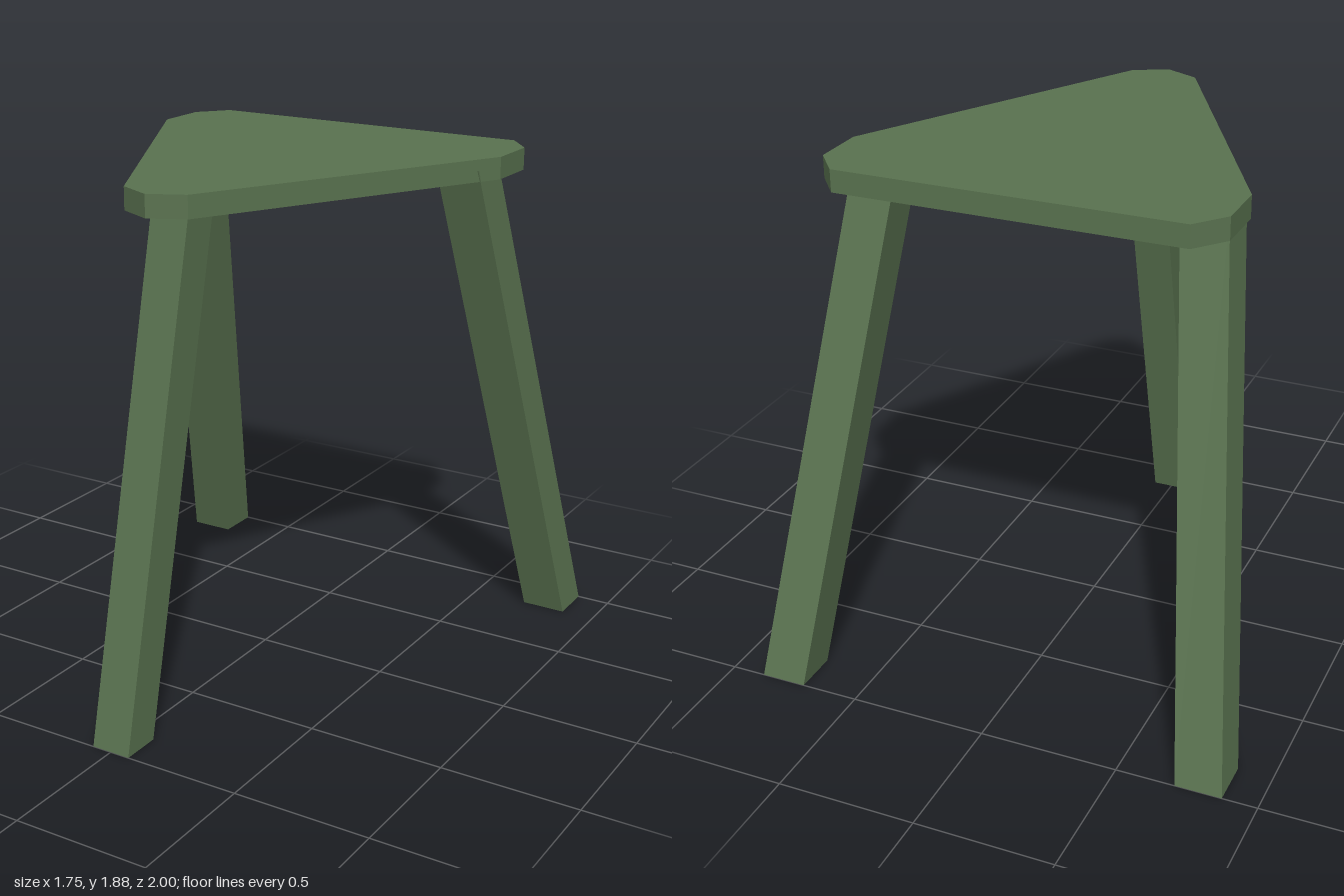
import * as THREE from 'three';

const SEAT_BOTTOM = 1.8, SEAT_TOP = 1.88, LEG_TOP = 1.84;

// Slanted leg with level ends: a box sheared so its foot sits at (x, z)
// and it leans by (dx, dz) on the way up to the seat's underside.
function makeLeg(name, material, x, z, dx, dz, size) {
  const geo = new THREE.BoxGeometry(size, LEG_TOP, size);
  geo.translate(0, LEG_TOP / 2, 0);
  const p = geo.attributes.position;
  for (let i = 0; i < p.count; i++) {
    const t = p.getY(i) / SEAT_BOTTOM;
    p.setX(i, p.getX(i) + x + dx * t);
    p.setZ(i, p.getZ(i) + z + dz * t);
  }
  geo.computeVertexNormals();
  const leg = new THREE.Mesh(geo, material);
  leg.name = name;
  return leg;
}

export function createModel() {
  const group = new THREE.Group();
  group.name = 'stool';
  const green = new THREE.MeshStandardMaterial({ color: 0x5a7350 });
  green.name = 'mossGreen';

  // Triangular seat with clipped corners, mirrored half outline as [x, z]
  const half = [[0.62, -0.73], [0.71, -0.62], [0.71, -0.42], [0.125, 0.67]];
  const outline = [...half, [0, 0.73], ...half.slice().reverse().map(([x, z]) => [-x, z])];
  const shape = new THREE.Shape(outline.map(([x, z]) => new THREE.Vector2(x, -z)));
  const seatGeo = new THREE.ExtrudeGeometry(shape, { depth: SEAT_TOP - SEAT_BOTTOM, bevelEnabled: false });
  seatGeo.rotateX(-Math.PI / 2);
  seatGeo.translate(0, SEAT_BOTTOM, 0);
  const seat = new THREE.Mesh(seatGeo, green);
  seat.name = 'seat';
  group.add(seat);

  // One front leg and a mirrored pair of back legs
  group.add(makeLeg('frontLeg', green, 0, 0.926, 0, -0.408, 0.147));
  for (const [side, name] of [[1, 'backLeftLeg'], [-1, 'backRightLeg']]) {
    group.add(makeLeg(name, green, side * 0.793, -0.917, side * -0.205, 0.492, 0.166));
  }
  return group;
}
